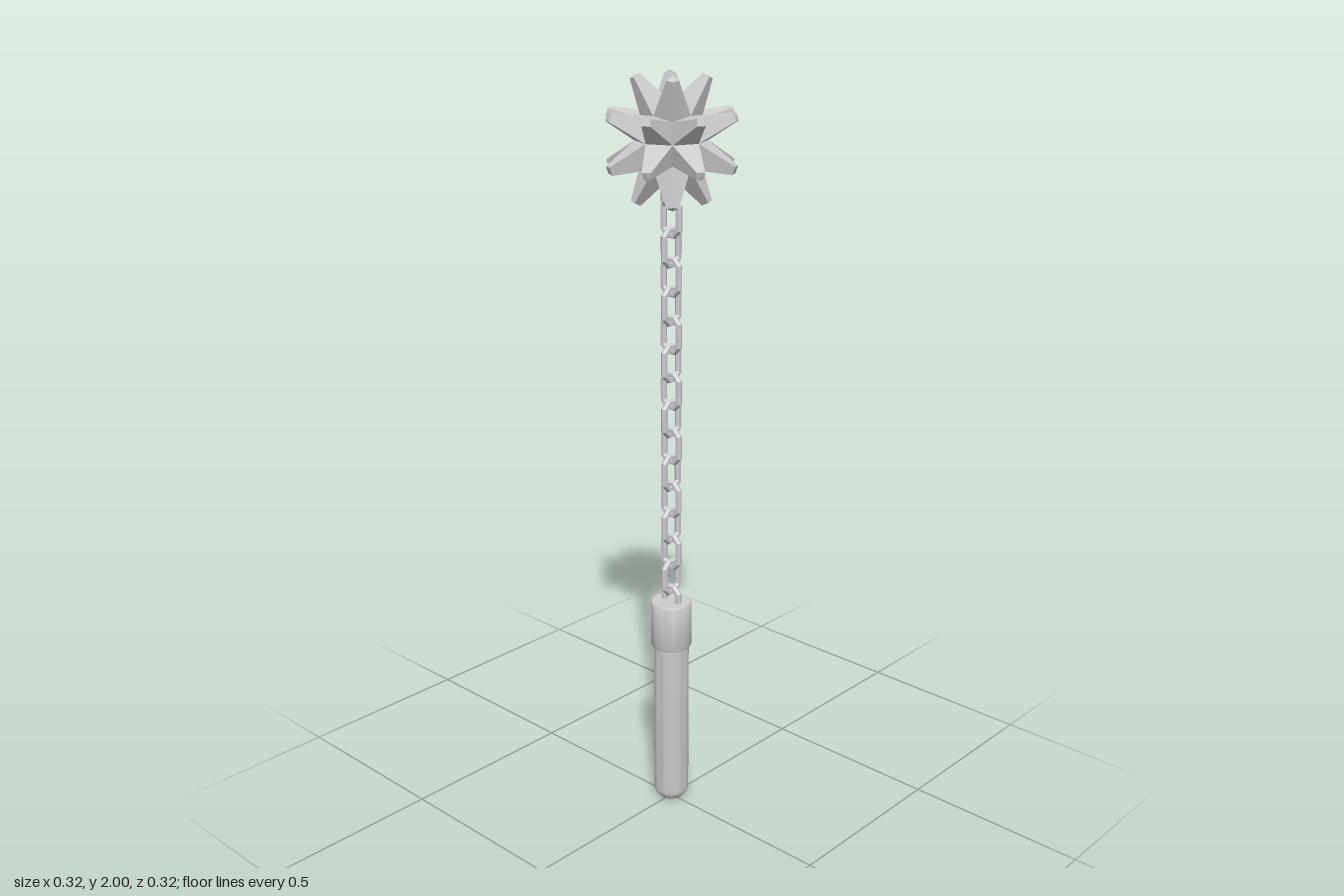
import * as THREE from 'three';
import { toCreasedNormals } from 'three/addons/utils/BufferGeometryUtils.js';

const BALL_Y = 1.841;

// Turned part with crisp edges, from [radius, height] pairs
function turned(name, profile, material) {
  const points = profile.map(([r, y]) => new THREE.Vector2(r, y));
  const mesh = new THREE.Mesh(toCreasedNormals(new THREE.LatheGeometry(points, 32), 0.6), material);
  mesh.name = name;
  return mesh;
}

// Octagonal ring stretched along y into a chain link
function linkGeometry() {
  const geo = new THREE.TorusGeometry(0.028, 0.009, 6, 8).rotateZ(Math.PI / 8);
  const pos = geo.attributes.position;
  for (let i = 0; i < pos.count; i++) {
    pos.setY(i, pos.getY(i) + Math.sign(pos.getY(i)) * 0.018);
  }
  return geo;
}

// Rounded cube of 24 quads, each drawn out into a blunt four-sided spike
function spikedBallGeometry() {
  const R = 0.09;
  const verts = [];
  const quad = (a, b, c, d) => {
    for (const p of [a, b, c, a, c, d]) verts.push(p.x, p.y, p.z);
  };
  const axes = [
    new THREE.Vector3(1, 0, 0), new THREE.Vector3(0, 1, 0), new THREE.Vector3(0, 0, 1),
  ];
  for (let k = 0; k < 3; k++) {
    for (const side of [1, -1]) {
      const n = axes[k].clone().multiplyScalar(side);
      let u = axes[(k + 1) % 3].clone();
      let v = n.clone().cross(u);
      for (let q = 0; q < 4; q++) {
        // base corners lie on a sphere
        const base = [
          n.clone(), n.clone().add(u), n.clone().add(u).add(v), n.clone().add(v),
        ].map((p) => p.setLength(R));
        const centre = new THREE.Vector3();
        base.forEach((p) => centre.addScaledVector(p, 0.25));
        // small tip, a shrunken copy of the base
        const tipCentre = n.clone().multiplyScalar(0.152)
          .addScaledVector(u, 0.063).addScaledVector(v, 0.063);
        const tip = base.map((p) => p.clone().sub(centre).multiplyScalar(0.33).add(tipCentre));
        for (let i = 0; i < 4; i++) {
          const j = (i + 1) % 4;
          quad(base[i], base[j], tip[j], tip[i]);
        }
        quad(...tip);
        [u, v] = [v, u.clone().negate()];
      }
    }
  }
  const geo = new THREE.BufferGeometry();
  geo.setAttribute('position', new THREE.Float32BufferAttribute(verts, 3));
  geo.computeVertexNormals();
  return geo;
}

export function createModel() {
  const group = new THREE.Group();
  group.name = 'flail';
  const smooth = new THREE.MeshStandardMaterial({ color: 0xcccccc });
  const flat = new THREE.MeshStandardMaterial({ color: 0xcccccc, flatShading: true });

  // Grip with a rounded butt
  const grip = [[0, 0]];
  for (let i = 0; i <= 6; i++) {
    const a = (i / 6) * Math.PI / 2;
    grip.push([0.012 + 0.036 * Math.sin(a), 0.036 * (1 - Math.cos(a))]);
  }
  grip.push([0.048, 0.5]);
  group.add(turned('grip', grip, smooth));

  // Collar capping the grip
  group.add(turned('collar', [
    [0.046, 0.478], [0.053, 0.478], [0.055, 0.482], [0.055, 0.606], [0.053, 0.609], [0, 0.609],
  ], smooth));

  // Chain: every other link turned a quarter
  const chain = new THREE.Group();
  chain.name = 'chain';
  const link = linkGeometry();
  for (let i = 0; i < 16; i++) {
    const mesh = new THREE.Mesh(link, flat);
    mesh.name = 'chainLink';
    mesh.position.y = 0.605 + 0.0748 * i;
    mesh.rotation.y = i % 2 === 0 ? Math.PI / 2 : 0;
    chain.add(mesh);
  }
  group.add(chain);

  // Spiked head
  const ball = new THREE.Mesh(spikedBallGeometry(), flat);
  ball.name = 'spikedBall';
  ball.position.y = BALL_Y;
  group.add(ball);

  return group;
}
